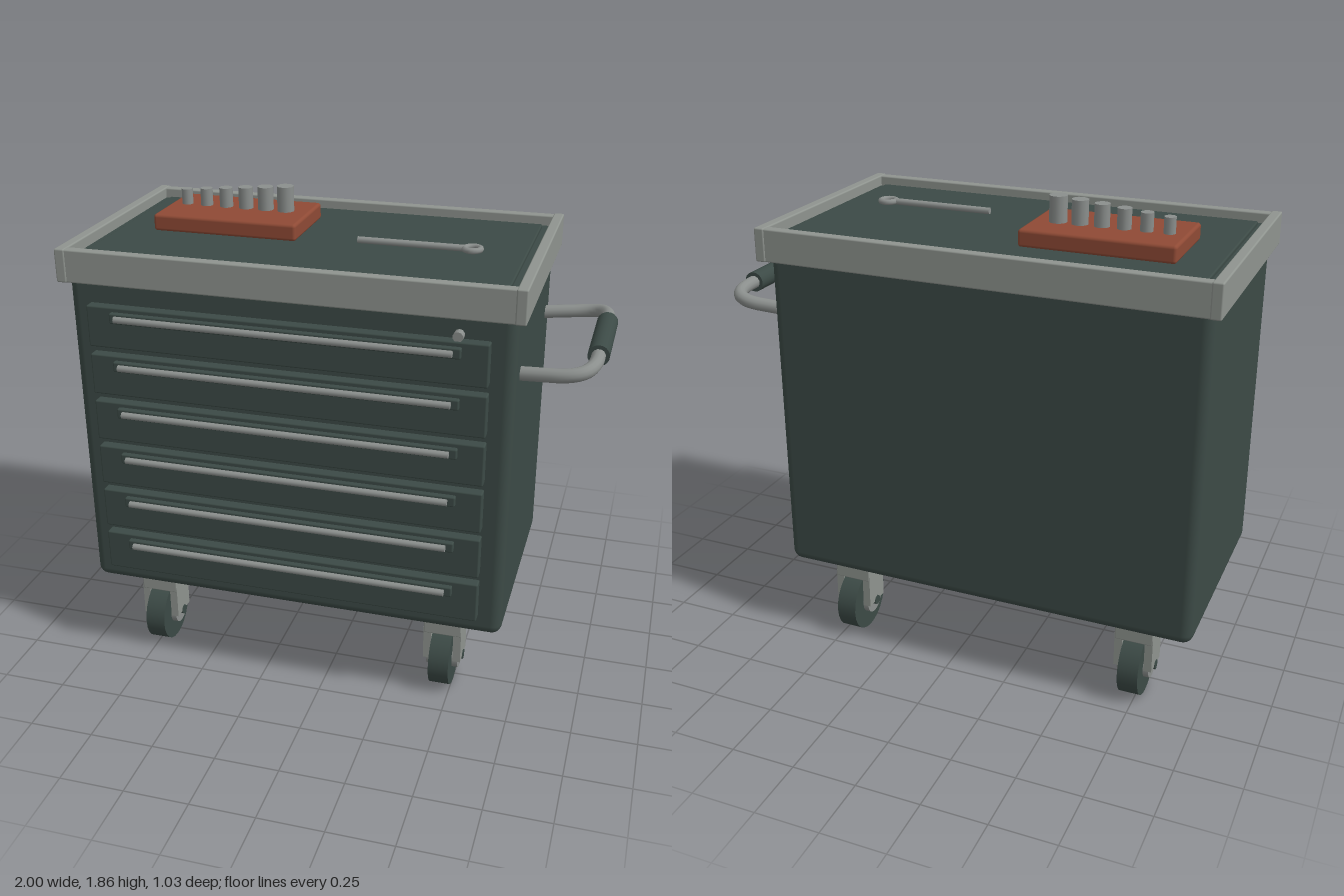
import * as THREE from 'three';
import { RoundedBoxGeometry } from 'three/addons/geometries/RoundedBoxGeometry.js';

const material = (name, color) => {
  const m = new THREE.MeshStandardMaterial({ color });
  m.name = name;
  return m;
};

export function createModel() {
  const model = new THREE.Group();
  model.name = 'toolCart';
  const green = material('dark green paint', 0x3c4a46);
  const trim = material('light grey trim', 0x8f948f);
  const metal = material('metal grey', 0x8b8f8d);
  const red = material('rust red', 0x8f4a35);

  const add = (name, geometry, mat, x, y, z, parent = model) => {
    const mesh = new THREE.Mesh(geometry, mat);
    mesh.name = name;
    mesh.position.set(x, y, z);
    parent.add(mesh);
    return mesh;
  };
  // Rounded box given by its limits on each axis
  const box = (name, mat, [x0, x1], [y0, y1], [z0, z1], r, parent = model) =>
    add(name, new RoundedBoxGeometry(x1 - x0, y1 - y0, z1 - z0, 3, r), mat,
      (x0 + x1) / 2, (y0 + y1) / 2, (z0 + z1) / 2, parent);
  const rodX = (r, length, sides) =>
    new THREE.CylinderGeometry(r, r, length, sides).rotateZ(Math.PI / 2);
  const rodZ = (r, length, sides) =>
    new THREE.CylinderGeometry(r, r, length, sides).rotateX(Math.PI / 2);

  // Cabinet
  box('cabinet', green, [-0.97, 0.7], [0.33, 1.63], [-0.475, 0.43], 0.04);

  // Top tray: side walls, front and back walls, floor and mat
  const tray = new THREE.Group();
  tray.name = 'topTray';
  model.add(tray);
  for (const x of [-1, 0.69]) {
    box('traySideWall', trim, [x, x + 0.04], [1.6, 1.727], [-0.517, 0.459], 0.006, tray);
  }
  for (const z of [-0.513, 0.415]) {
    box('trayLongWall', trim, [-0.98, 0.71], [1.6, 1.725], [z, z + 0.04], 0.006, tray);
  }
  box('trayFloor', green, [-0.965, 0.695], [1.602, 1.685], [-0.478, 0.42], 0.006, tray);
  box('trayMat', green, [-0.925, 0.655], [1.67, 1.7], [-0.44, 0.385], 0.006, tray);

  // Six drawers, each with a dark pull strip and a metal rod
  for (let i = 0; i < 6; i++) {
    const drawer = new THREE.Group();
    drawer.name = 'drawer';
    drawer.position.y = 1.445 - i * 0.1905;
    model.add(drawer);
    box('drawerFront', green, [-0.885, 0.612], [-0.08, 0.08], [0.425, 0.47], 0.006, drawer);
    box('pullStrip', green, [-0.787, 0.517], [0.024, 0.064], [0.465, 0.49], 0.006, drawer);
    add('pullRod', rodX(0.0125, 1.25, 12), metal, -0.135, 0.047, 0.502, drawer);
  }

  // Lock
  add('lock', rodZ(0.019, 0.04, 10), metal, 0.5, 1.54, 0.443);

  // Push handle with grip
  const path = new THREE.CurvePath();
  const zMid = -0.025;
  const p = (x, y, z) => new THREE.Vector3(x, y, zMid + z);
  path.add(new THREE.LineCurve3(p(0.69, 1.367, -0.33), p(0.83, 1.379, -0.347)));
  path.add(new THREE.CubicBezierCurve3(
    p(0.83, 1.379, -0.347), p(0.92, 1.388, -0.355), p(0.955, 1.403, -0.32), p(0.955, 1.403, -0.2)));
  path.add(new THREE.LineCurve3(p(0.955, 1.403, -0.2), p(0.955, 1.403, 0.2)));
  path.add(new THREE.CubicBezierCurve3(
    p(0.955, 1.403, 0.2), p(0.955, 1.403, 0.32), p(0.92, 1.388, 0.355), p(0.83, 1.379, 0.347)));
  path.add(new THREE.LineCurve3(p(0.83, 1.379, 0.347), p(0.69, 1.367, 0.33)));
  add('pushHandle', new THREE.TubeGeometry(path, 64, 0.026, 12), metal, 0, 0, 0);
  add('handleGrip', rodZ(0.04, 0.36, 20), green, 0.955, 1.403, zMid);

  // Casters: fork, wheel, hub and axle
  for (const x of [-0.735, 0.4625]) {
    for (const z of [0.287, -0.333]) {
      const caster = new THREE.Group();
      caster.name = 'caster';
      caster.position.set(x, 0, z);
      model.add(caster);
      box('forkTop', trim, [-0.075, 0.075], [0.243, 0.345], [-0.06, 0.06], 0.005, caster);
      for (const s of [-1, 1]) {
        add('forkArm', new THREE.BoxGeometry(0.031, 0.14, 0.118), trim,
          s * 0.0595, 0.197, 0, caster);
      }
      add('wheel', rodX(0.127, 0.08, 24), green, 0, 0.127, 0, caster);
      add('hub', rodX(0.055, 0.125, 16), metal, 0, 0.127, 0, caster);
      add('axle', rodX(0.02, 0.156, 10), green, 0, 0.127, 0, caster);
    }
  }

  // Socket block with six growing sockets
  box('socketBlock', red, [-0.785, -0.21], [1.698, 1.763], [-0.29, 0.052], 0.012);
  for (let i = 0; i < 6; i++) {
    const r = 0.022 + i * 0.0023;
    const top = 1.823 + i * 0.0075;
    add('socket', new THREE.CylinderGeometry(r, r, top - 1.75, 12), metal,
      -0.718 + i * 0.082, (top + 1.75) / 2, -0.137);
  }

  // Spanner lying on the mat
  const spanner = new THREE.Group();
  spanner.name = 'spanner';
  spanner.position.set(0, 1.725, 0.043);
  model.add(spanner);
  add('spannerShaft', rodX(0.0125, 0.4, 10), metal, 0.233, 0, 0, spanner);
  add('spannerRing', new THREE.TorusGeometry(0.03, 0.0115, 8, 20).rotateX(Math.PI / 2),
    metal, 0.465, 0, 0, spanner);

  return model;
}
